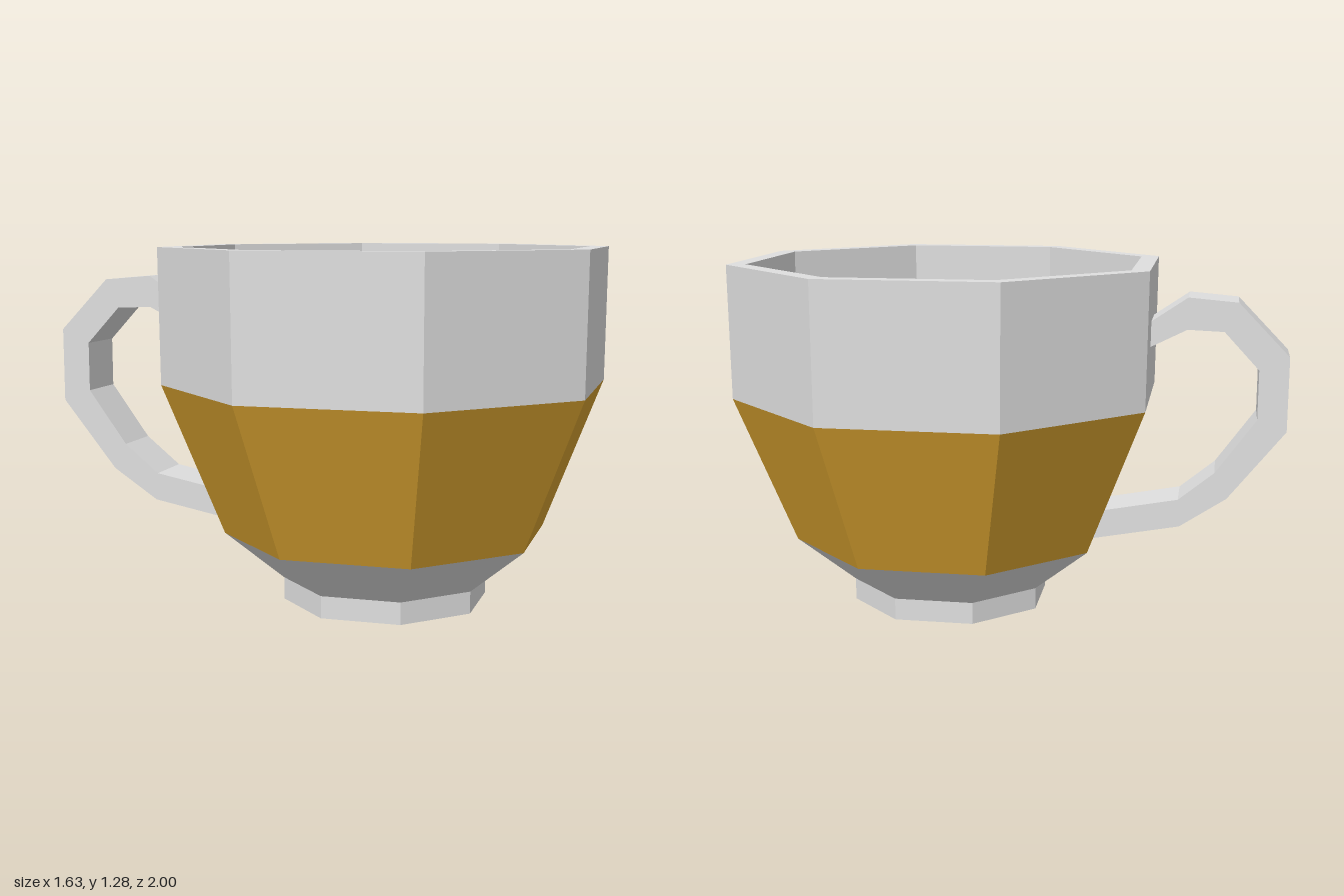
import * as THREE from 'three';

const SIDES = 8;

function mat(name, color) {
  const m = new THREE.MeshStandardMaterial({ color });
  m.name = name;
  return m;
}

// Give every facet its own hard-edged normal
function faceted(geometry) {
  const g = geometry.index ? geometry.toNonIndexed() : geometry;
  g.computeVertexNormals();
  return g;
}

// Eight-sided band turned from [radius, height] points
function band(points) {
  return faceted(new THREE.LatheGeometry(points.map(([r, y]) => new THREE.Vector2(r, y)), SIDES));
}

// Eight-sided flat disc facing up or down
function disc(radius, y, up) {
  return new THREE.CircleGeometry(radius, SIDES).rotateX(up ? -Math.PI / 2 : Math.PI / 2).translate(0, y, 0);
}

export function createModel() {
  const white = mat('white ceramic', 0xdfdfdf);
  const gold = mat('golden glaze', 0xd8a230);
  const coffee = mat('coffee brown', 0x99754d);

  const cup = new THREE.Group();
  cup.name = 'cup';
  const add = (name, geometry, material) => {
    const mesh = new THREE.Mesh(geometry, material);
    mesh.name = name;
    cup.add(mesh);
    return mesh;
  };

  // Foot and flared underside
  add('footBottom', disc(0.375, 0, false), white);
  add('foot', band([[0.375, 0], [0.375, 0.08], [0.59, 0.253]]), white);

  // Glazed middle
  add('goldBand', band([[0.59, 0.253], [0.81, 0.797]]), gold);

  // Upper wall, rim and inside wall
  add('upperWall', band([[0.81, 0.797], [0.815, 1.285], [0.745, 1.285], [0.745, 0.95]]), white);

  // Drink surface
  add('coffeeSurface', disc(0.745, 0.97, true), coffee);

  // Handle profile: [distance from cup axis, height], outer edge then inner edge
  const outer = [[0.74, 1.08], [0.88, 1.175], [1.057, 1.16], [1.241, 0.97], [1.241, 0.7], [1.038, 0.445], [0.87, 0.333], [0.54, 0.27]];
  const inner = [[0.74, 0.99], [0.88, 1.06], [1.01, 1.055], [1.136, 0.92], [1.136, 0.74], [0.992, 0.54], [0.863, 0.434], [0.54, 0.372]];
  const outline = [...outer, ...inner.reverse()].map(([r, y]) => new THREE.Vector2(r, y));
  const handleGeometry = new THREE.ExtrudeGeometry(new THREE.Shape(outline), { depth: 0.2, bevelEnabled: false });
  handleGeometry.translate(0, 0, -0.1);
  const handle = add('handle', faceted(handleGeometry), white);
  handle.rotation.y = THREE.MathUtils.degToRad(112.5);

  cup.position.z = 0.183;
  const model = new THREE.Group();
  model.name = 'coffeeCup';
  model.add(cup);
  return model;
}
